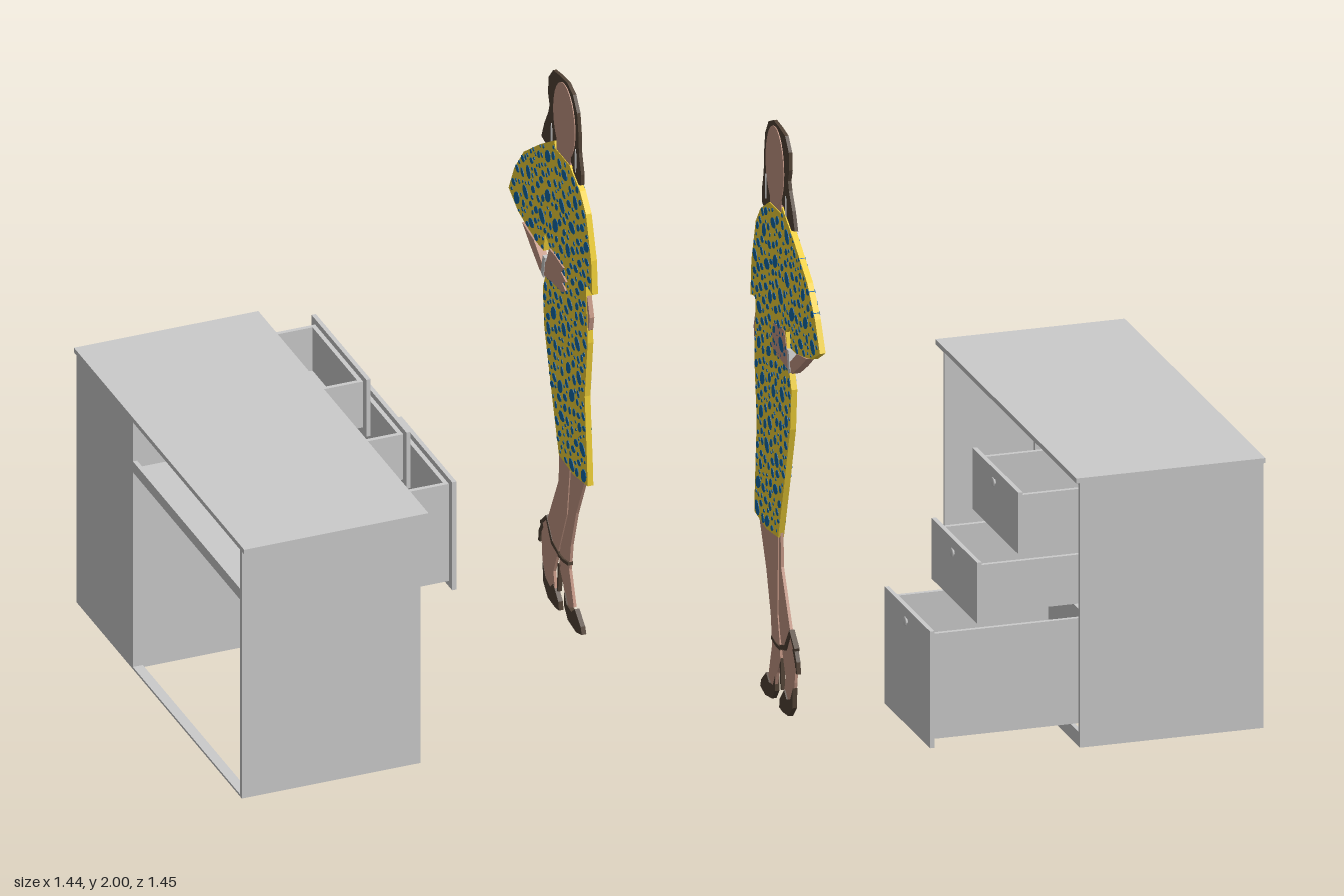
import * as THREE from 'three';

const grey = new THREE.MeshStandardMaterial({ color: 0xcccccc });
const paint = (color) => new THREE.MeshStandardMaterial({ color });
const skin = paint(0xc49785), brown = paint(0x524336), yellow = paint(0xf0d038), blue = paint(0x1068a8);

// Box given by its minimum and maximum corners
function box(parent, name, [x0, y0, z0], [x1, y1, z1]) {
  const mesh = new THREE.Mesh(new THREE.BoxGeometry(x1 - x0, y1 - y0, z1 - z0), grey);
  mesh.position.set((x0 + x1) / 2, (y0 + y1) / 2, (z0 + z1) / 2);
  mesh.name = name;
  parent.add(mesh);
}

// Open drawer: box of thin walls, overlaid front panel and a round knob
function drawer(name, xFront, y0, y1, knobY) {
  const g = new THREE.Group();
  g.name = name;
  const t = 0.015, xb = xFront - 0.56, xe = xFront - t;
  const b = y0 + 0.02, h = y1 - 0.02, za = -0.67, zb = -0.26;
  box(g, 'drawerBottom', [xb, b, za], [xe, b + 0.01, zb]);
  box(g, 'drawerSide', [xb, b, za], [xe, h, za + t]);
  box(g, 'drawerSide', [xb, b, zb - t], [xe, h, zb]);
  box(g, 'drawerBack', [xb, b, za + t], [xb + t, h, zb - t]);
  box(g, 'drawerInnerFront', [xe - t, b, za + t], [xe, h, zb - t]);
  box(g, 'drawerFront', [xe, y0, -0.7], [xFront, y1, -0.232]);
  const knob = new THREE.Mesh(new THREE.LatheGeometry([
    [0, 0], [0.009, 0], [0.008, 0.004], [0.016, 0.006], [0.013, 0.01], [0, 0.011],
  ].map(([r, y]) => new THREE.Vector2(r, y)), 14), grey);
  knob.rotation.z = -Math.PI / 2;
  knob.position.set(xFront, knobY, -0.462);
  knob.name = 'drawerKnob';
  g.add(knob);
  return g;
}

function desk() {
  const g = new THREE.Group();
  g.name = 'desk';
  const xb = -0.725, xf = -0.1, t = 0.015;
  box(g, 'tabletop', [xb, 0.915, -0.728], [-0.08, 0.932, 0.725]);
  box(g, 'legPanel', [xb, 0, 0.69], [xf, 0.915, 0.705]);
  // cabinet shell, open at the front and underneath
  box(g, 'cabinetOuterSide', [xb, 0, -0.705], [xf, 0.915, -0.705 + t]);
  box(g, 'cabinetInnerSide', [xb, 0, -0.225 - t], [xf, 0.915, -0.225]);
  box(g, 'cabinetBack', [xb, 0, -0.69], [xb + t, 0.915, -0.24]);
  box(g, 'cabinetPlinth', [xf - t, 0, -0.69], [xf, 0.05, -0.24]);
  box(g, 'cabinetTopRail', [xf - t, 0.895, -0.69], [xf, 0.915, -0.24]);
  // kneehole
  box(g, 'shelf', [-0.71, 0.73, -0.225], [-0.3, 0.745, 0.69]);
  box(g, 'shelfBackEdge', [xb, 0.73, -0.225], [-0.71, 0.77, 0.69]);
  box(g, 'shelfFrontEdge', [-0.315, 0.745, -0.225], [-0.3, 0.77, 0.69]);
  box(g, 'footBar', [xb, 0, -0.225], [-0.69, 0.008, 0.69]);
  g.add(
    drawer('topDrawer', 0.11, 0.685, 0.895, 0.855),
    drawer('middleDrawer', 0.25, 0.462, 0.67, 0.628),
    drawer('bottomDrawer', 0.41, 0.052, 0.452, 0.41),
  );
  return g;
}

const polygon = (pts) => new THREE.Shape(pts.map(([z, y]) => new THREE.Vector2(z, y)));
function ellipse(z, y, rz, ry, turn = 0) {
  return new THREE.Shape().absellipse(z, y, rz, ry, 0, Math.PI * 2, false, turn);
}

// Thin cut-out standing in the z-y plane
function cutout(parent, name, shapes, material, thick, x = 0.7, curveSegments = 5) {
  const geo = new THREE.ExtrudeGeometry(shapes, { depth: thick, bevelEnabled: false, curveSegments });
  geo.translate(0, 0, -thick / 2).rotateY(-Math.PI / 2);
  const mesh = new THREE.Mesh(geo, material);
  mesh.position.x = x;
  mesh.name = name;
  parent.add(mesh);
}

function inside(pts, z, y) {
  let hit = false;
  pts.forEach(([az, ay], i) => {
    const [bz, by] = pts[(i + pts.length - 1) % pts.length];
    if ((ay > y) !== (by > y) && z < az + (bz - az) * (y - ay) / (by - ay)) hit = !hit;
  });
  return hit;
}

// Irregular spots packed without overlap inside the dress
function spots(outline) {
  let seed = 7;
  const rnd = () => (seed = (seed * 16807) % 2147483647) / 2147483647;
  const placed = [];
  for (let i = 0; i < 9000; i++) {
    const r = i < 500 ? 0.019 + rnd() * 0.006 : i < 2500 ? 0.011 + rnd() * 0.005 : 0.005 + rnd() * 0.004;
    const z = -0.47 + rnd() * 0.72, y = 0.58 + rnd() * 1.16;
    const gap = i < 500 ? 0.045 : 0.008;
    const fits = [[r, 0], [-r, 0], [0, r], [0, -r]].every(([a, b]) => inside(outline, z + a * 1.2, y + b * 1.2));
    if (fits && placed.every((p) => Math.hypot(p.z - z, p.y - y) > p.r + r + gap)) {
      placed.push({ z, y, r, turn: rnd() * 3 });
    }
  }
  return placed.map((p) => ellipse(p.z, p.y, p.r * 0.85, p.r * 1.15, p.turn));
}

function standingFigure() {
  const g = new THREE.Group();
  g.name = 'standingWoman';
  // head
  cutout(g, 'hair', polygon([
    [0.02, 2], [0.07, 1.98], [0.105, 1.93], [0.118, 1.85], [0.12, 1.79], [0.14, 1.72], [0.137, 1.68],
    [0.095, 1.66], [0.06, 1.72], [-0.08, 1.74], [-0.13, 1.7], [-0.155, 1.68], [-0.2, 1.69], [-0.175, 1.75],
    [-0.14, 1.81], [-0.13, 1.84], [-0.143, 1.88], [-0.138, 1.94], [-0.1, 1.985], [-0.04, 1.995],
  ]), brown, 0.012);
  cutout(g, 'face', ellipse(0, 1.85, 0.092, 0.135), skin, 0.018, 0.7, 16);
  cutout(g, 'neck', polygon([[0.05, 1.78], [0.05, 1.69], [-0.07, 1.69], [-0.06, 1.78]]), skin, 0.016);
  cutout(g, 'earrings', [ellipse(0.095, 1.75, 0.004, 0.045), ellipse(-0.11, 1.74, 0.004, 0.045)], grey, 0.018);

  // dress with one flared sleeve
  const dress = [
    [0.05, 1.71], [0.14, 1.66], [0.19, 1.6], [0.235, 1.45], [0.245, 1.33], [0.19, 1.34], [0.205, 1.13],
    [0.18, 0.92], [0.2, 0.68], [0.205, 0.6], [0.08, 0.58], [-0.04, 0.59], [-0.1, 0.78], [-0.165, 1],
    [-0.178, 1.14], [-0.15, 1.21], [-0.12, 1.32], [-0.16, 1.35], [-0.17, 1.28], [-0.24, 1.28],
    [-0.39, 1.315], [-0.47, 1.36], [-0.42, 1.46], [-0.34, 1.56], [-0.2, 1.66], [-0.08, 1.735], [-0.07, 1.71],
  ];
  cutout(g, 'dress', polygon(dress), yellow, 0.02);
  cutout(g, 'dressSpots', spots(dress), blue, 0.024);

  // arms
  cutout(g, 'armOnHip', polygon([
    [-0.34, 1.3], [-0.27, 1.25], [-0.19, 1.2], [-0.14, 1.2], [-0.08, 1.21], [0.0, 1.215], [0.03, 1.235],
    [0, 1.25], [0.035, 1.27], [-0.01, 1.285], [0.01, 1.31], [-0.06, 1.32], [-0.11, 1.32], [-0.135, 1.26],
    [-0.17, 1.235], [-0.24, 1.285],
  ]), skin, 0.028, 0.698);
  cutout(g, 'bracelet', polygon([[-0.14, 1.27], [-0.16, 1.27], [-0.175, 1.2], [-0.155, 1.19]]), grey, 0.032, 0.698);
  cutout(g, 'loweredHand', polygon([[0.195, 1.3], [0.218, 1.23], [0.208, 1.18], [0.195, 1.17]]), skin, 0.016);

  // legs
  cutout(g, 'frontLeg', polygon([
    [0.17, 0.61], [0.09, 0.44], [0.045, 0.3], [0.03, 0.2], [0.07, 0.08], [0.01, 0.05], [-0.02, 0.12],
    [-0.055, 0.17], [-0.05, 0.22], [-0.025, 0.32], [-0.03, 0.61],
  ]), skin, 0.01, 0.702);
  cutout(g, 'rearLeg', polygon([
    [0.05, 0.61], [0.02, 0.4], [-0.03, 0.28], [-0.065, 0.2], [-0.095, 0.13], [-0.08, 0.06], [-0.17, 0.06],
    [-0.19, 0.14], [-0.2, 0.25], [-0.145, 0.3], [-0.1, 0.39], [-0.05, 0.49], [-0.045, 0.61],
  ]), skin, 0.01, 0.698);

  // heeled shoes with ankle straps
  cutout(g, 'shoes', [
    polygon([[0.15, 0.02], [0.14, 0.045], [0.09, 0.085], [0.06, 0.06], [0.02, 0.065], [0, 0.1], [0, 0.05], [0.03, 0.015], [0.1, 0.005]]),
    polygon([[-0.045, 0.01], [-0.05, 0.04], [-0.095, 0.085], [-0.12, 0.06], [-0.16, 0.075], [-0.185, 0.12], [-0.18, 0.05], [-0.14, 0.01], [-0.08, 0.005]]),
  ], brown, 0.016);
  cutout(g, 'shoeHeels', [
    polygon([[-0.045, 0.18], [-0.058, 0.18], [-0.065, 0.075], [-0.055, 0.075]]),
    polygon([[-0.19, 0.27], [-0.22, 0.22], [-0.225, 0.18], [-0.212, 0.18], [-0.205, 0.21], [-0.18, 0.25]]),
  ], brown, 0.014);
  cutout(g, 'ankleStraps', [
    polygon([[0.035, 0.23], [0.035, 0.218], [-0.01, 0.208], [-0.055, 0.208], [-0.055, 0.22], [-0.01, 0.22]]),
    polygon([[-0.05, 0.225], [-0.05, 0.212], [-0.11, 0.225], [-0.155, 0.295], [-0.2, 0.25], [-0.205, 0.262], [-0.152, 0.31], [-0.1, 0.24]]),
  ], brown, 0.018);
  return g;
}

export function createModel() {
  const model = new THREE.Group();
  model.name = 'deskWithStandingWoman';
  model.add(desk(), standingFigure());
  return model;
}
